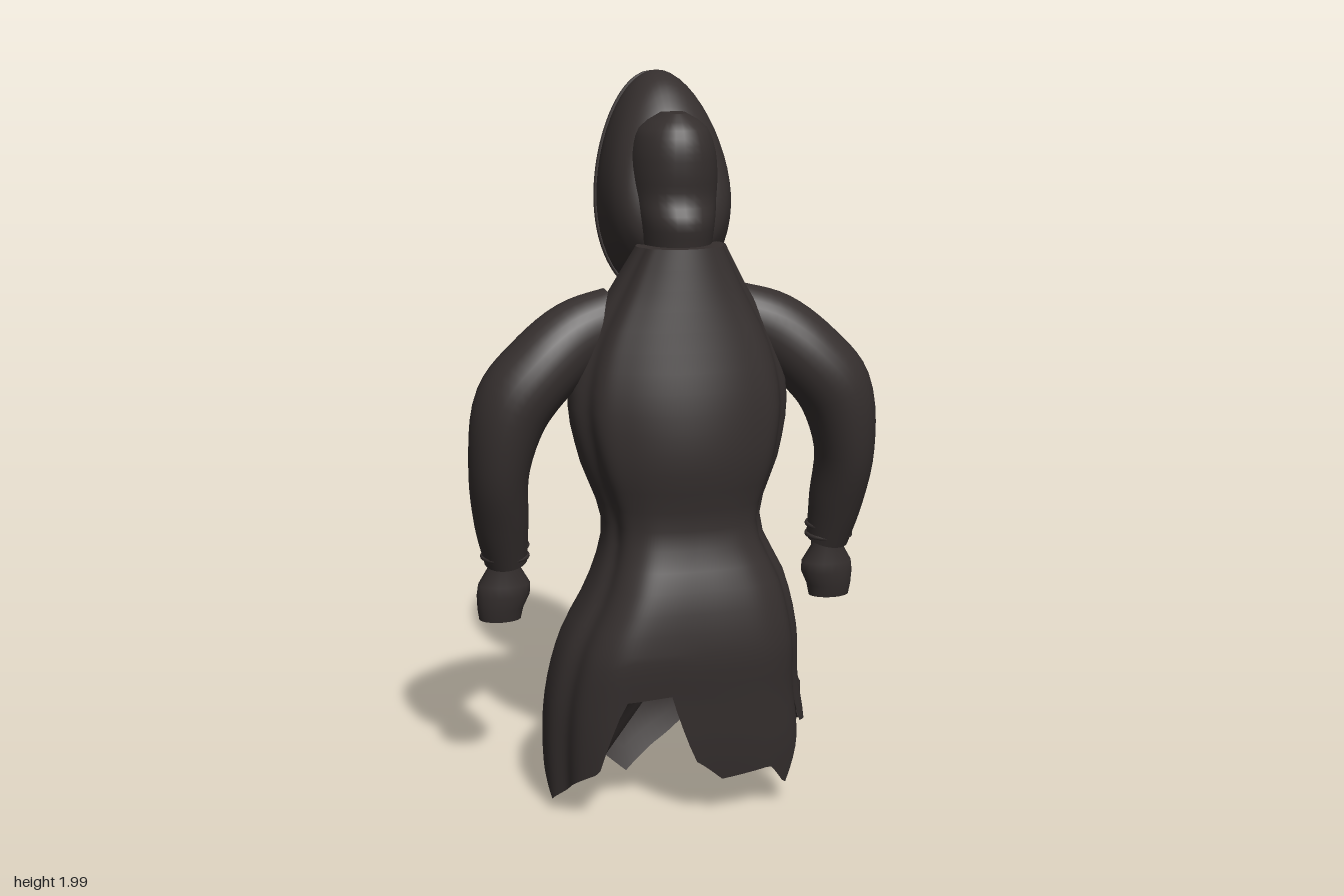
import * as THREE from 'three';

const cloth = new THREE.MeshStandardMaterial({ color: 0x352f2e, side: THREE.DoubleSide });
cloth.name = 'dark cloth';

const V = (x, y, z) => new THREE.Vector3(x, y, z);
const TAU = Math.PI * 2;

// Skin a list of closed rings, each an array of points; optionally cap the ends
function loft(name, rings, capStart = false, capEnd = false) {
  const n = rings[0].length, pos = [], idx = [];
  rings.forEach(r => r.forEach(p => pos.push(p.x, p.y, p.z)));
  for (let i = 0; i < rings.length - 1; i++) {
    for (let j = 0; j < n; j++) {
      const a = i * n + j, b = i * n + (j + 1) % n;
      idx.push(a, a + n, b, b, a + n, b + n);
    }
  }
  const cap = (ring, flip) => {
    const base = pos.length / 3;
    const mid = ring.reduce((s, p) => s.add(p), V(0, 0, 0)).divideScalar(n);
    [...ring, mid].forEach(p => pos.push(p.x, p.y, p.z));
    for (let j = 0; j < n; j++) {
      const a = base + j, b = base + (j + 1) % n;
      idx.push(base + n, flip ? b : a, flip ? a : b);
    }
  };
  if (capStart) cap(rings[0], false);
  if (capEnd) cap(rings[rings.length - 1], true);
  const g = new THREE.BufferGeometry();
  g.setAttribute('position', new THREE.Float32BufferAttribute(pos, 3));
  g.setIndex(idx);
  g.computeVertexNormals();
  return named(name, g);
}

function named(name, geometry) {
  const m = new THREE.Mesh(geometry, cloth);
  m.name = name;
  return m;
}

// Smooth lookup in a table whose rows are [key, value, value, ...], keys ascending
function smoothTable(rows) {
  const size = rows[0].length - 1;
  const f = new THREE.CubicInterpolant(rows.map(r => r[0]), rows.flatMap(r => r.slice(1)), size);
  return k => Array.from(f.evaluate(THREE.MathUtils.clamp(k, rows[0][0], rows[rows.length - 1][0])));
}

const ringOf = (n, fn) => Array.from({ length: n }, (_, j) => fn((j / n) * TAU));
const bump = (v, centre, width) => Math.exp(-(((v - centre) / width) ** 2));
const squared = (v, power) => Math.sign(v) * Math.abs(v) ** power;

// Robe: height, reach to -x, reach to +x, reach to +z, reach to -z
const robeProfile = smoothTable([
  [0.0, 0.37, 0.355, 0.22, -0.15], [0.2, 0.38, 0.36, 0.255, -0.205], [0.35, 0.37, 0.335, 0.27, -0.195],
  [0.5, 0.33, 0.325, 0.283, -0.185], [0.65, 0.25, 0.29, 0.262, -0.17], [0.8, 0.21, 0.225, 0.215, -0.155],
  [1.0, 0.275, 0.28, 0.24, -0.175], [1.15, 0.3, 0.3, 0.23, -0.175], [1.3, 0.265, 0.265, 0.2, -0.15],
  [1.45, 0.18, 0.18, 0.17, -0.1], [1.56, 0.12, 0.12, 0.15, -0.03],
]);

// Ragged hem: angle in degrees from +z towards +x, then height
const hem = [
  [-180, 0.09], [-165, 0.01], [-145, 0.12], [-125, 0.27], [-110, 0.2], [-80, 0.04], [-60, 0.1], [-38, 0.16],
  [-28, 0.37], [-10, 0.38], [0, 0.18], [10, 0.12], [32, 0.14], [42, 0.07], [52, 0.2], [60, 0.36],
  [70, 0.22], [95, 0.2], [112, 0.02], [120, 0.2], [130, 0.23], [145, 0.3], [160, 0.2], [180, 0.09],
];
function hemHeight(deg) {
  const i = Math.max(1, hem.findIndex(h => h[0] >= deg));
  const [a, b] = [hem[i - 1], hem[i]];
  return a[1] + (b[1] - a[1]) * (deg - a[0]) / (b[0] - a[0]);
}

// Cross-section with front folds, a valley along each side seam and a torn flap on one side
function robePoint(a, y) {
  const [xl, xr, zf, zb] = robeProfile(y);
  const deg = a * 180 / Math.PI, turn = Math.abs(deg);
  const low = THREE.MathUtils.smoothstep(1.1 - y, 0, 0.65);
  const power = 1 - 0.1 * low;
  const s = squared(Math.sin(a), power), c = squared(Math.cos(a), power);
  const fold = 1 + low * (0.08 * bump(deg, -34, 14) + 0.05 * bump(deg, 36, 14) - 0.03 * bump(deg, 0, 15))
    + 0.025 * bump(turn, 50, 9) - 0.035 * bump(turn, 66, 8);
  const flap = 0.11 * bump(deg, 127, 11) * bump(y, 0.24, 0.11);
  const zc = (zf + zb) / 2;
  return V(s * (s > 0 ? xr : xl) * fold + flap, y, zc + c * (zf - zb) / 2 * fold);
}

function makeRobe() {
  const rings = [], upper = 20, lower = 8, waist = 0.5;
  for (let i = 0; i <= upper + lower; i++) {
    rings.push(ringOf(144, t => {
      const a = t - Math.PI;
      const y = i <= upper
        ? 1.56 + (waist - 1.56) * i / upper
        : waist + (hemHeight(a * 180 / Math.PI) - waist) * (i - upper) / lower;
      return robePoint(a, y);
    }));
  }
  return loft('robe', rings, true);
}

// Underside: a shallow tent closing the robe above the ragged points
function makeUnderside() {
  const rings = [];
  for (let i = 0; i <= 6; i++) {
    const k = i / 6;
    rings.push(ringOf(144, t => {
      const a = t - Math.PI;
      const p = robePoint(a, Math.max(0.2, hemHeight(a * 180 / Math.PI) + 0.005));
      return p.lerp(V(0, 0.42, 0.03), 0.01 + 0.99 * k);
    }));
  }
  return loft('underside', rings);
}

// Head: height, half width, reach to +z, reach to -z
function makeHead() {
  const at = smoothTable([
    [1.42, 0.08, 0.09, -0.12], [1.57, 0.1, 0.12, -0.15], [1.62, 0.106, 0.128, -0.16], [1.68, 0.115, 0.105, -0.165],
    [1.75, 0.117, 0.11, -0.175], [1.82, 0.106, 0.107, -0.165], [1.87, 0.08, 0.085, -0.14], [1.9, 0.03, 0.045, -0.08],
  ]);
  const rings = [];
  for (let i = 0; i <= 24; i++) {
    const y = 1.42 + 0.48 * i / 24, [w, f, b] = at(y);
    rings.push(ringOf(32, a => V(w * squared(Math.sin(a), 0.9), y, (f + b) / 2 + (f - b) / 2 * Math.cos(a))));
  }
  return loft('head', rings, true, true);
}

// Hood: egg-shaped rings leaning with the opening; depth, centre height, half height, half width
function hoodRing(z, yc, hy, rx) {
  return ringOf(48, a => {
    const up = Math.cos(a);
    return V(rx * Math.sin(a) * (1 - 0.16 * up), yc + hy * up, z - 0.19 * hy * up);
  });
}
function makeHood() {
  const group = new THREE.Group();
  group.name = 'hood';
  const at = smoothTable([
    [0, -0.215, 1.685, 0.3, 0.168], [1, -0.15, 1.7, 0.298, 0.175], [2, -0.075, 1.71, 0.268, 0.168],
    [3, -0.022, 1.71, 0.215, 0.152], [4, 0.015, 1.7, 0.16, 0.122], [5, 0.04, 1.68, 0.07, 0.06],
  ]);
  const rings = [];
  for (let i = 0; i <= 20; i++) rings.push(hoodRing(...at(i / 4)));
  const edge = new THREE.CatmullRomCurve3(rings[0], true);
  group.add(loft('hoodShell', rings, false, true));
  group.add(named('hoodRim', new THREE.TubeGeometry(edge, 72, 0.008, 8, true)));
  return group;
}

// Arm: sleeve sections along a path, two cuff bands and a closed hand
function makeArm(side) {
  const arm = new THREE.Group();
  arm.name = side > 0 ? 'leftArm' : 'rightArm';
  const path = new THREE.CatmullRomCurve3([
    V(0.16, 1.36, -0.005), V(0.27, 1.315, 0), V(0.372, 1.232, 0.01), V(0.446, 1.14, 0.01),
    V(0.484, 0.97, -0.005), V(0.475, 0.81, -0.045), V(0.46, 0.69, -0.07),
  ]);
  const radii = smoothTable([
    [0, 0.088, 0.075], [1, 0.1, 0.094], [2, 0.104, 0.11], [3, 0.104, 0.114],
    [4, 0.082, 0.102], [5, 0.074, 0.086], [6, 0.059, 0.064],
  ]);
  const rings = [];
  for (let i = 0; i <= 30; i++) {
    const t = i / 30, c = path.getPoint(t), tan = path.getTangent(t);
    const out = V(-tan.y, tan.x, 0).normalize(), across = V(0, 0, 0).crossVectors(out, tan);
    const [r, rz] = radii(t * 6);
    rings.push(ringOf(28, a => c.clone().addScaledVector(out, r * Math.cos(a)).addScaledVector(across, rz * Math.sin(a))));
  }
  arm.add(loft('sleeve', rings, true, true));

  [0.735, 0.705].forEach(y => {
    const cuff = named('cuffBand', new THREE.TorusGeometry(0.061, 0.007, 8, 28));
    cuff.rotation.x = Math.PI / 2;
    cuff.position.set(0.463, y, -0.066);
    arm.add(cuff);
  });

  const hand = [
    [0.71, 0.462, 0.042, -0.075, 0.04], [0.665, 0.464, 0.046, -0.08, 0.04], [0.62, 0.464, 0.072, -0.085, 0.05],
    [0.59, 0.466, 0.074, -0.088, 0.054], [0.55, 0.474, 0.064, -0.092, 0.05], [0.517, 0.475, 0.058, -0.094, 0.042],
  ].map(([y, x, rx, z, rz]) => ringOf(20, a => V(x + rx * Math.sin(a), y, z + rz * Math.cos(a))));
  arm.add(loft('hand', hand, true, true));
  arm.scale.x = side;
  return arm;
}

// Drawstring hanging from the hood
function makeString(xTop, xEnd) {
  const mid = (xTop + xEnd) / 2;
  const curve = new THREE.CatmullRomCurve3([
    V(xTop, 1.32, -0.145), V(xTop, 1.2, -0.172), V(mid, 1.06, -0.193), V(mid, 0.85, -0.193), V(xEnd, 0.58, -0.198),
  ]);
  return named('drawstring', new THREE.TubeGeometry(curve, 32, 0.006, 6, false));
}

export function createModel() {
  const model = new THREE.Group();
  model.name = 'hoodedRobe';
  model.add(makeRobe(), makeUnderside(), makeHead(), makeHood(), makeArm(1), makeArm(-1));
  model.add(makeString(0.18, 0.14), makeString(-0.15, -0.11));
  return model;
}
